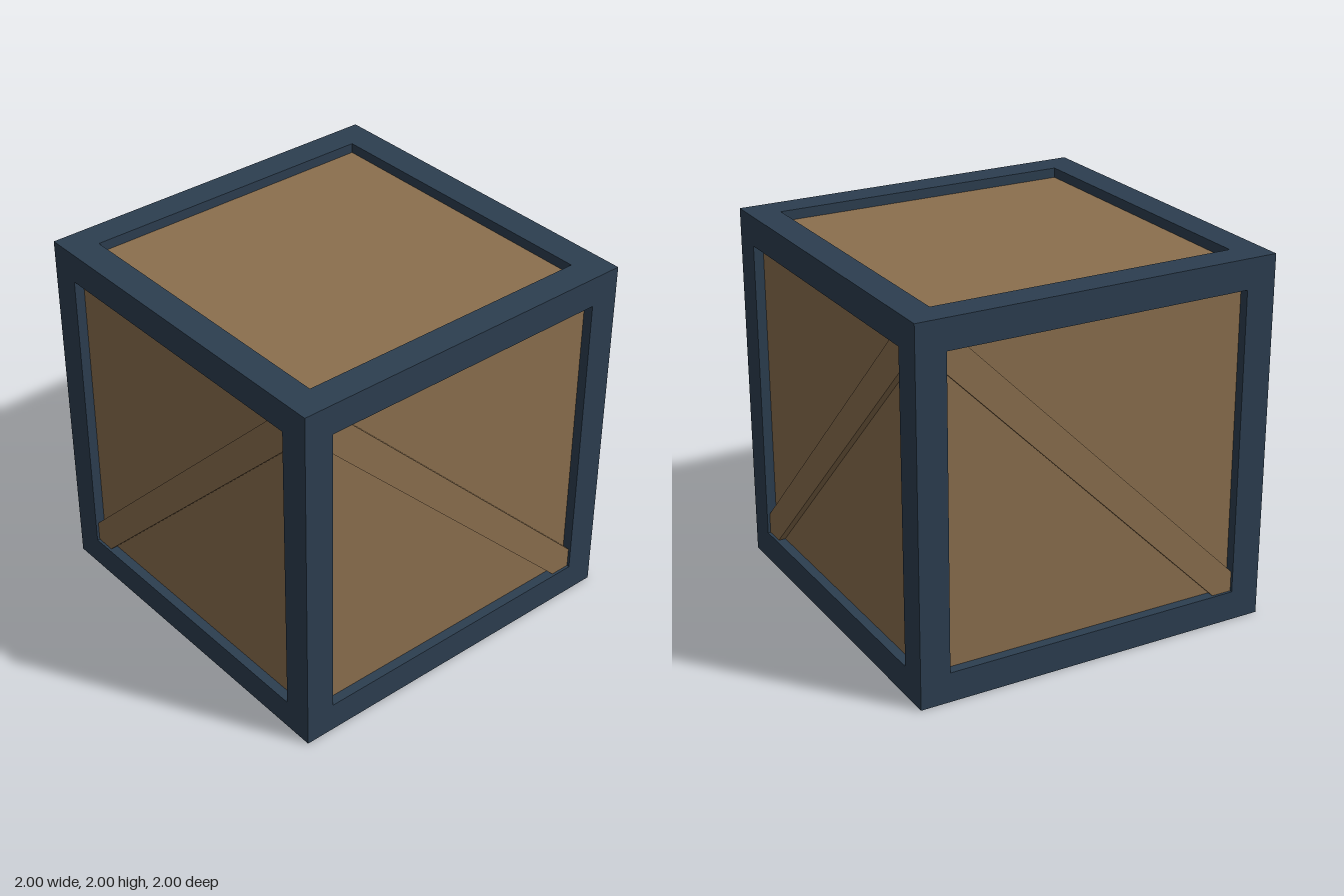
import * as THREE from 'three';

const BEAM = 0.163;          // square section of the frame timbers
const HALF = 1;
const INNER = HALF - BEAM;   // half width of each opening
const PANEL_OUT = 0.946;     // outer surface of the recessed panels
const BRACE_OUT = 0.985;     // outer surface of the diagonal braces

export function createModel() {
  const crate = new THREE.Group();
  crate.name = 'crate';
  const frameMat = new THREE.MeshStandardMaterial({ name: 'dark blue frame', color: 0x2c3e50 });
  const woodMat = new THREE.MeshStandardMaterial({ name: 'brown wood', color: 0x8b6f4e });

  const add = (parent, name, geometry, material, x, y, z) => {
    const mesh = new THREE.Mesh(geometry, material);
    mesh.name = name;
    mesh.position.set(x, y, z);
    parent.add(mesh);
    return mesh;
  };

  // Frame: four full-height posts, joined by beams at top and bottom
  const c = HALF - BEAM / 2;
  const post = new THREE.BoxGeometry(BEAM, 2, BEAM);
  const beamX = new THREE.BoxGeometry(2 * INNER, BEAM, BEAM);
  const beamZ = new THREE.BoxGeometry(BEAM, BEAM, 2 * INNER);
  for (const a of [-1, 1]) {
    for (const b of [-1, 1]) {
      add(crate, 'cornerPost', post, frameMat, a * c, 1, b * c);
      add(crate, 'crossBeam', beamX, frameMat, 0, 1 + a * c, b * c);
      add(crate, 'sideBeam', beamZ, frameMat, b * c, 1 + a * c, 0);
    }
  }

  // Thin panel, shared by the four walls and the lid; the underside is open
  const panel = new THREE.BoxGeometry(2 * INNER, 2 * INNER, 0.008);

  // Diagonal brace, trimmed square into two corners of the opening
  const cut = 0.113;
  const outline = new THREE.Shape([
    [-INNER, -INNER], [-INNER + cut, -INNER], [INNER, INNER - cut],
    [INNER, INNER], [INNER - cut, INNER], [-INNER, -INNER + cut],
  ].map(([x, y]) => new THREE.Vector2(x, y)));
  const brace = new THREE.ExtrudeGeometry(outline, {
    depth: BRACE_OUT - PANEL_OUT, bevelEnabled: false,
  });

  // Walls: front, left, back, right; the brace direction alternates
  ['front', 'left', 'back', 'right'].forEach((side, i) => {
    const wall = new THREE.Group();
    wall.name = side + 'Wall';
    wall.position.y = 1;
    wall.rotation.y = i * Math.PI / 2;
    add(wall, 'panel', panel, woodMat, 0, 0, PANEL_OUT - 0.004);
    const bar = add(wall, 'diagonalBrace', brace, woodMat, 0, 0, PANEL_OUT);
    if (i % 2) bar.rotation.z = Math.PI / 2;
    crate.add(wall);
  });

  // Lid
  const lid = add(crate, 'lidPanel', panel, woodMat, 0, 1 + PANEL_OUT - 0.004, 0);
  lid.rotation.x = -Math.PI / 2;

  return crate;
}
